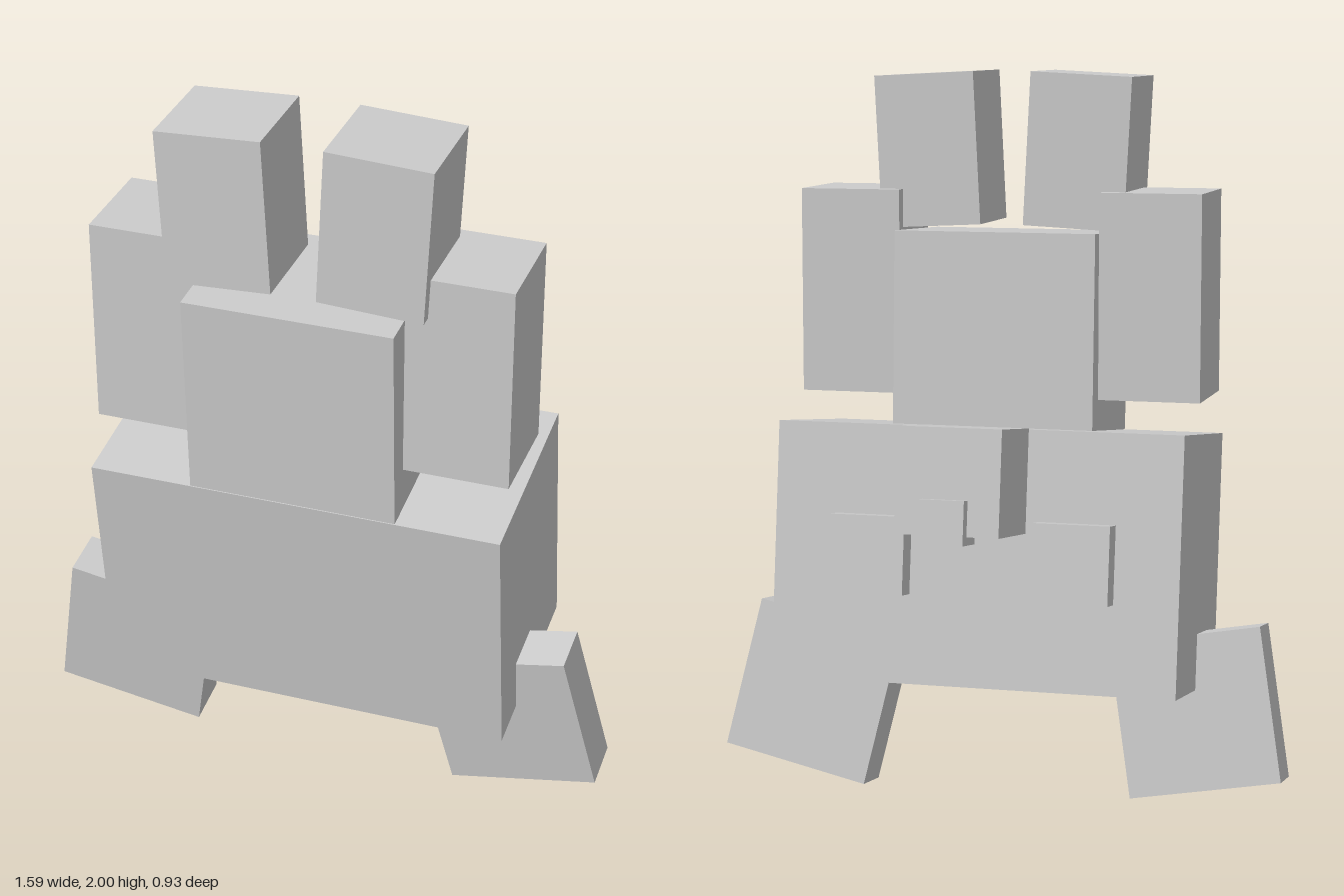
import * as THREE from 'three';

export function createModel() {
  const model = new THREE.Group();
  const material = new THREE.MeshStandardMaterial({ color: 0xcccccc, flatShading: true });
  const midX = 0.01; // symmetry plane
  const headTilt = 0.128;

  function block(name, size, position, tiltX = 0, tiltZ = 0) {
    const mesh = new THREE.Mesh(new THREE.BoxGeometry(...size), material);
    mesh.name = name;
    mesh.position.set(...position);
    mesh.rotation.set(tiltX, 0, tiltZ);
    model.add(mesh);
  }

  // Head with its muzzle and nose, tipped back
  block('head', [1.12, 0.696, 0.555], [midX, 0.682, 0.12], headTilt);
  block('muzzle', [0.28, 0.28, 0.28], [midX, 0.945, -0.27], headTilt);
  block('nose', [0.12, 0.116, 0.116], [midX + 0.005, 0.857, -0.4], headTilt);

  // Torso
  block('torso', [0.56, 0.56, 0.415], [midX, 1.283, 0.245], 0.045);

  // Paired eyes, arms and upturned legs
  for (const [side, s] of [['left', 1], ['right', -1]]) {
    block(side + 'Eye', [0.21, 0.21, 0.07], [midX + s * 0.28, 0.722, -0.195], headTilt);
    block(side + 'Arm', [0.28, 0.56, 0.28], [midX + s * 0.42, 1.4, 0.235]);
    block(side + 'Leg', [0.28, 0.415, 0.28], [midX + s * 0.21, 1.787, 0.27], 0, s * -0.05);
  }

  // Floppy ears, splayed at slightly different angles
  block('leftEar', [0.42, 0.425, 0.14], [0.543, 0.26, 0.135], headTilt, 0.216);
  block('rightEar', [0.42, 0.425, 0.14], [-0.55, 0.266, 0.135], headTilt, -0.17);

  return model;
}
